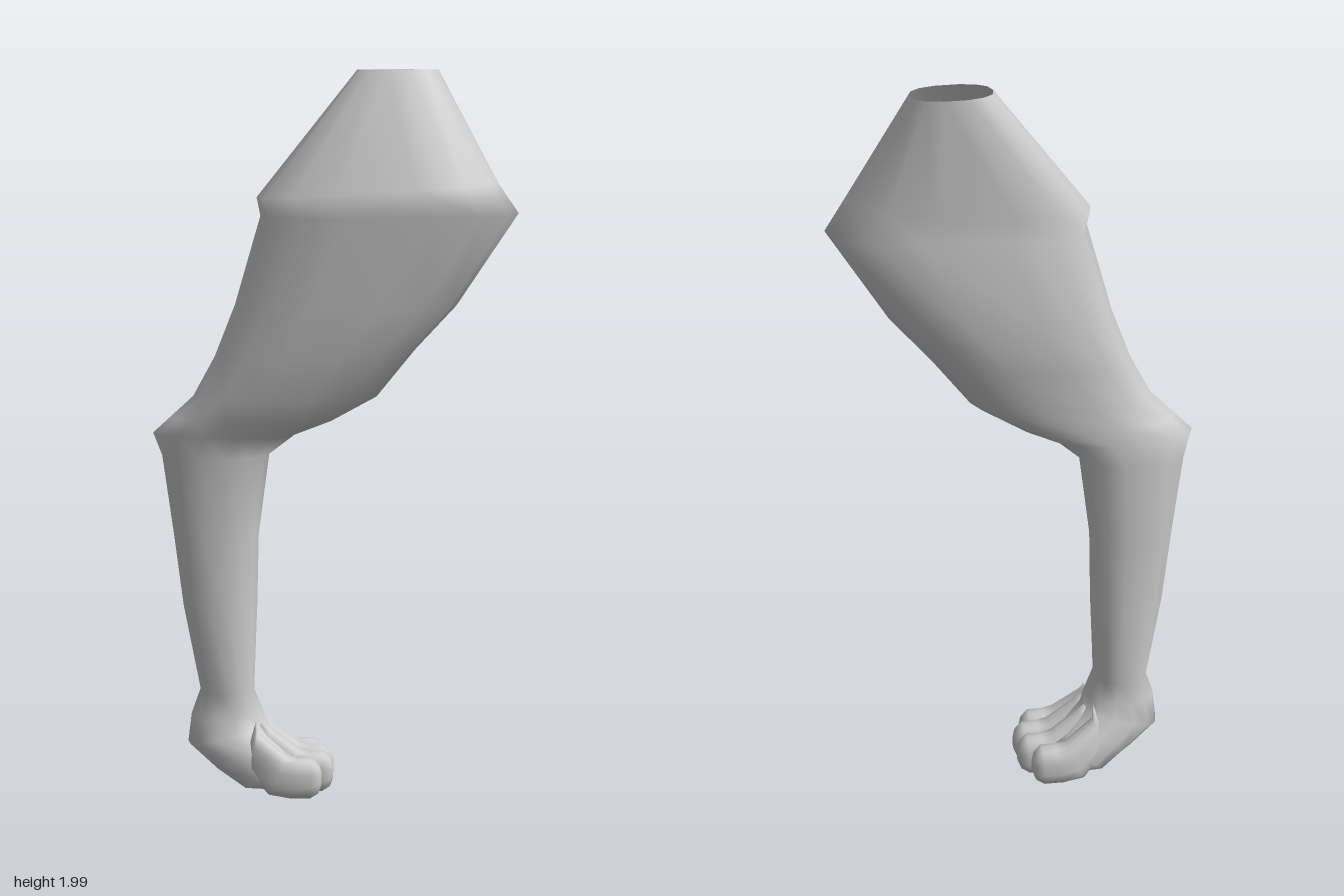
import * as THREE from 'three';

const SIDES = 14;
const material = new THREE.MeshStandardMaterial({ color: 0xcccccc, side: THREE.DoubleSide });

// Loft through rings [x0, y0, x1, y1, zMin, zMax, power, skew]:
// each ring spans two profile points and a depth range; power > 2 makes it boxier.
function loft(name, rings, capStart, capEnd) {
  const pos = [], index = [];
  const bend = (v, p) => Math.sign(v) * Math.pow(Math.abs(v), 2 / p);
  for (const [x0, y0, x1, y1, z0, z1, power = 2.2, skew = 0] of rings) {
    for (let j = 0; j < SIDES; j++) {
      const a = (j / SIDES) * Math.PI * 2;
      const u = bend(Math.cos(a), power), v = bend(Math.sin(a), power);
      pos.push(
        (x0 + x1) / 2 + u * (x1 - x0) / 2,
        (y0 + y1) / 2 + u * (y1 - y0) / 2,
        (z0 + z1) / 2 + v * (z1 - z0) / 2 + u * skew);
    }
  }
  for (let i = 0; i < rings.length - 1; i++) {
    for (let j = 0; j < SIDES; j++) {
      const k = (j + 1) % SIDES, a = i * SIDES, b = a + SIDES;
      index.push(a + j, a + k, b + j, a + k, b + k, b + j);
    }
  }
  const cap = (i, flip) => {
    const [x0, y0, x1, y1, z0, z1] = rings[i];
    const c = pos.length / 3;
    pos.push((x0 + x1) / 2, (y0 + y1) / 2, (z0 + z1) / 2);
    for (let j = 0; j < SIDES; j++) {
      const a = i * SIDES + j, b = i * SIDES + (j + 1) % SIDES;
      index.push(c, flip ? b : a, flip ? a : b);
    }
  };
  if (capStart) cap(0, true);
  if (capEnd) cap(rings.length - 1, false);
  const geometry = new THREE.BufferGeometry();
  geometry.setAttribute('position', new THREE.Float32BufferAttribute(pos, 3));
  geometry.setIndex(index);
  geometry.computeVertexNormals();
  const mesh = new THREE.Mesh(geometry, material);
  mesh.name = name;
  return mesh;
}

export function createModel() {
  const group = new THREE.Group();
  group.name = 'animalLeg';

  // Thigh (open at the hip), knee, shin and ankle, ending in the sole of the paw
  group.add(loft('leg', [
    [0.06, 1.99, 0.28, 1.99, -0.16, 0.01, 2.4, -0.01],
    [-0.21, 1.65, 0.44, 1.69, -0.145, 0.175, 2.7, 0.02],
    [-0.2, 1.6, 0.495, 1.61, -0.15, 0.17, 2.7, 0.015],
    [-0.27, 1.36, 0.33, 1.36, -0.155, 0.16, 2.5, 0.01],
    [-0.325, 1.22, 0.22, 1.24, -0.135, 0.14, 2.4],
    [-0.385, 1.11, 0.115, 1.11, -0.115, 0.12, 2.3],
    [-0.45, 1.05, -0.01, 1.04, -0.115, 0.095, 2.3],
    [-0.498, 1.005, -0.11, 1.0, -0.12, 0.075],
    [-0.475, 0.94, -0.18, 0.945, -0.13, 0.06],
    [-0.445, 0.72, -0.21, 0.72, -0.12, 0.045],
    [-0.42, 0.52, -0.215, 0.52, -0.127, 0.055],
    [-0.375, 0.28, -0.225, 0.28, -0.125, 0.04],
    [-0.4, 0.21, -0.2, 0.22, -0.115, 0.04],
    [-0.41, 0.13, -0.19, 0.19, -0.135, 0.06],
    [-0.33, 0.06, -0.17, 0.165, -0.15, 0.08],
    [-0.25, 0.01, -0.14, 0.13, -0.165, 0.095, 2.6],
    [-0.17, 0.01, -0.1, 0.1, -0.165, 0.1, 2.6],
  ], false, true));

  // Four toes, the outer two set back and shorter
  const toes = [[0.074, -0.03], [0.004, 0], [-0.068, 0], [-0.138, -0.03]];
  toes.forEach(([z, back], i) => {
    const ring = (x0, y0, x1, y1, half, spread = 1) => {
      const c = -0.032 + (z + 0.032) * spread;
      return [x0 + back, y0, x1 + back, y1, c - half, c + half, 2.6];
    };
    group.add(loft('toe' + (i + 1), [
      ring(-0.21, 0.12, -0.215 - back, 0.21, 0.022, 0.65),
      ring(-0.2, 0.06, -0.18, 0.18, 0.032, 0.85),
      ring(-0.15, 0.01, -0.1, 0.12, 0.039),
      ring(-0.09, 0.0, -0.07, 0.112, 0.042),
      ring(-0.035, 0.0, -0.03, 0.112, 0.041),
      ring(-0.012, 0.015, -0.01, 0.092, 0.032),
      ring(-0.004, 0.035, -0.004, 0.072, 0.016),
    ], true, true));
  });
  return group;
}
